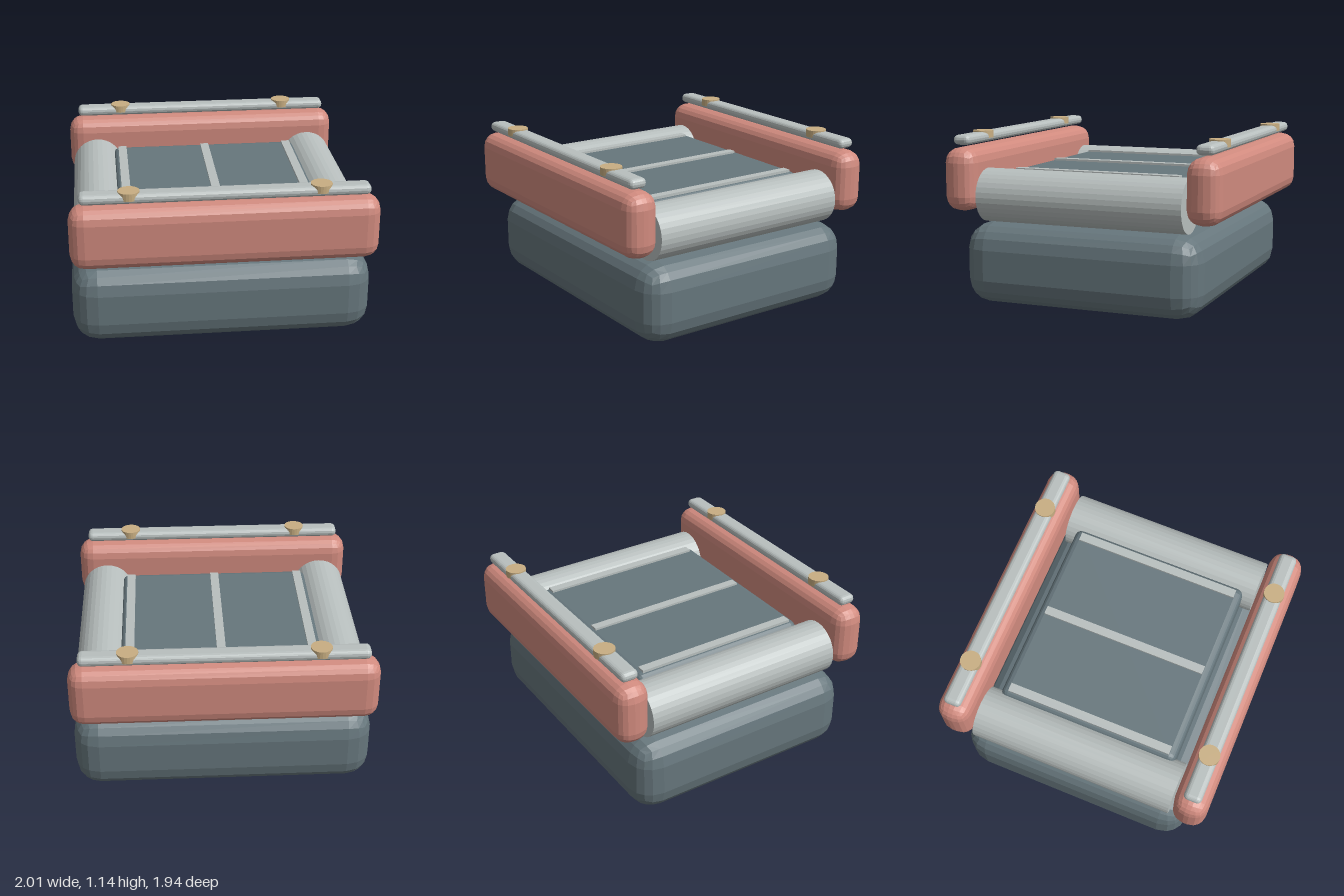
import * as THREE from 'three';
import { RoundedBoxGeometry } from 'three/addons/geometries/RoundedBoxGeometry.js';

export function createModel() {
  const mat = (name, color) => {
    const m = new THREE.MeshStandardMaterial({ color, flatShading: true });
    m.name = name;
    return m;
  };
  const slate = mat('slate', 0x66767c);
  const coral = mat('coral', 0xd08a7e);
  const silver = mat('silver', 0xb8bfbe);
  const tan = mat('tan', 0xc8ae82);

  const root = new THREE.Group();
  root.name = 'rollerBed';

  const add = (name, geo, material, x, y, z) => {
    const mesh = new THREE.Mesh(geo, material);
    mesh.name = name;
    mesh.position.set(x, y, z);
    root.add(mesh);
    return mesh;
  };
  // Softly bevelled block; the coarse rounding falls short by 0.038 r per side, so pad it
  const block = (w, h, d, r) => {
    const pad = 0.076 * r;
    return new RoundedBoxGeometry(w + pad, h + pad, d + pad, 2, r);
  };

  // Base and raised deck
  add('base', block(2, 0.535, 1.65, 0.17), slate, 0, 0.2675, 0);
  add('deck', block(1.36, 0.24, 1.28, 0.05), slate, 0, 0.75, 0);

  // Slats along the deck
  for (const x of [-0.615, 0, 0.615]) {
    add('deckSlat', new THREE.BoxGeometry(0.06, 0.03, 1.18), silver, x, 0.872, 0);
  }

  // Side rollers with end hubs
  for (const sx of [-1, 1]) {
    const roller = add('roller', new THREE.CylinderGeometry(0.18, 0.18, 1.44, 32), silver, sx * 0.8, 0.72, 0);
    roller.rotation.x = Math.PI / 2;
    for (const sz of [-1, 1]) {
      const hub = add('rollerHub', new THREE.CylinderGeometry(0.1, 0.1, 0.06, 24), tan, sx * 0.8, 0.72, sz * 0.772);
      hub.rotation.x = Math.PI / 2;
    }
  }

  // Front and back rails, each with a top bar and two knobs
  for (const sz of [-1, 1]) {
    const z = sz * 0.852;
    add('rail', block(2, 0.42, 0.225, 0.1), coral, 0, 0.83, z);
    add('topBar', block(1.865, 0.065, 0.12, 0.032), silver, 0, 1.0925, z);
    for (const sx of [-1, 1]) {
      add('knob', new THREE.CylinderGeometry(0.07, 0.07, 0.05, 24), tan, sx * 0.615, 1.11, z);
    }
  }
  return root;
}
